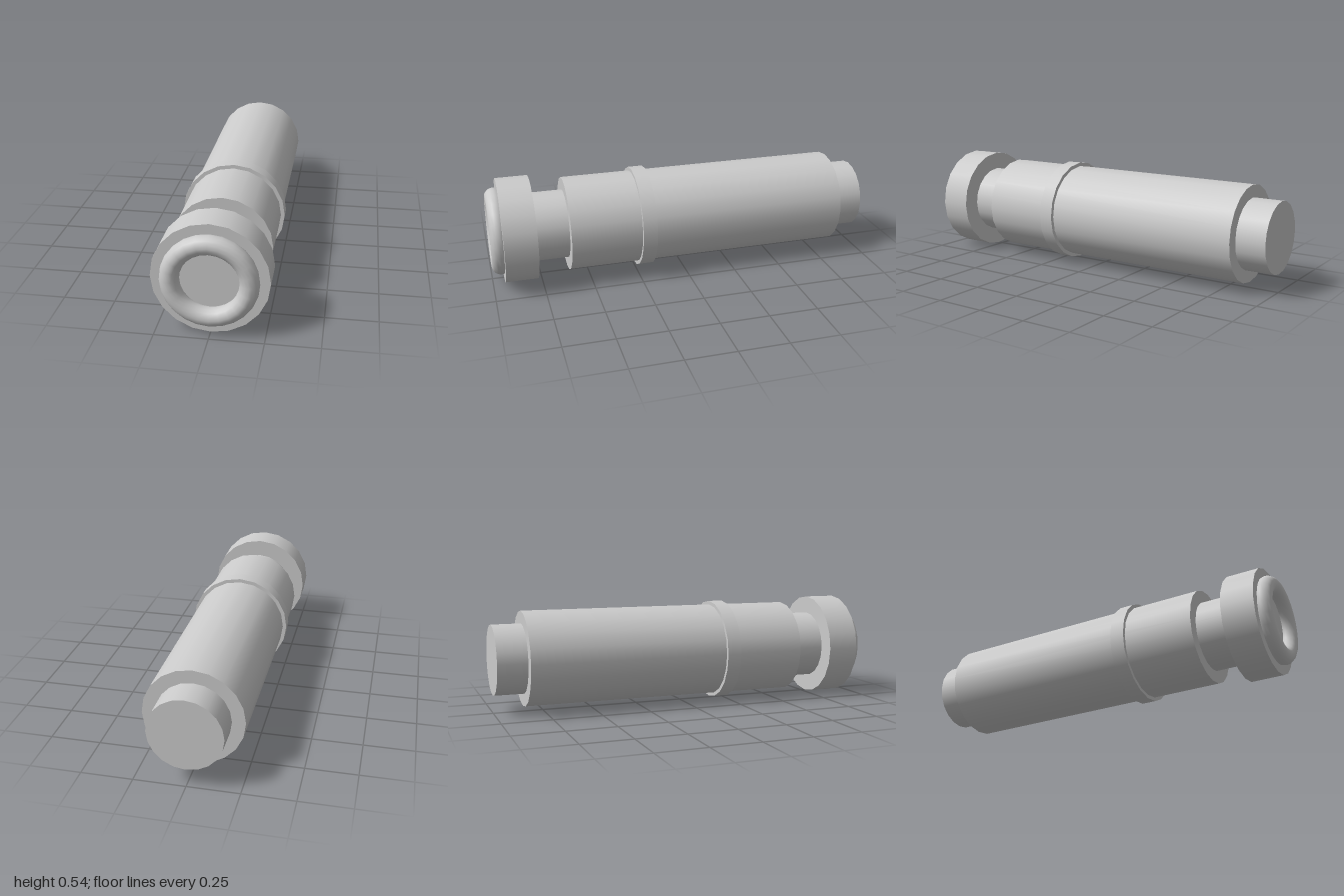
import * as THREE from 'three';

const material = new THREE.MeshStandardMaterial({ color: 0xcccccc });
const AXIS_Y = 0.27;

// Round section lying along z, from zBack to zFront
function section(name, radius, zBack, zFront) {
  const geometry = new THREE.CylinderGeometry(radius, radius, zFront - zBack, 20);
  geometry.rotateX(Math.PI / 2);
  const mesh = new THREE.Mesh(geometry, material);
  mesh.name = name;
  mesh.position.set(0, AXIS_Y, (zBack + zFront) / 2);
  return mesh;
}

export function createModel() {
  const model = new THREE.Group();
  model.name = 'cylindricalHandle';

  // Inner core shows at the rear stub and at the neck
  model.add(section('core', 0.178, -1, 0.8));
  model.add(section('gripBody', 0.242, -0.85, 0.607));
  model.add(section('gripBand', 0.261, 0.172, 0.246));
  model.add(section('frontCollar', 0.269, 0.775, 0.94));

  // Rounded rim, half sunk into the collar face
  const rim = new THREE.Mesh(new THREE.TorusGeometry(0.179, 0.045, 16, 24), material);
  rim.name = 'frontRim';
  rim.position.set(0, AXIS_Y, 0.955);
  model.add(rim);

  return model;
}
